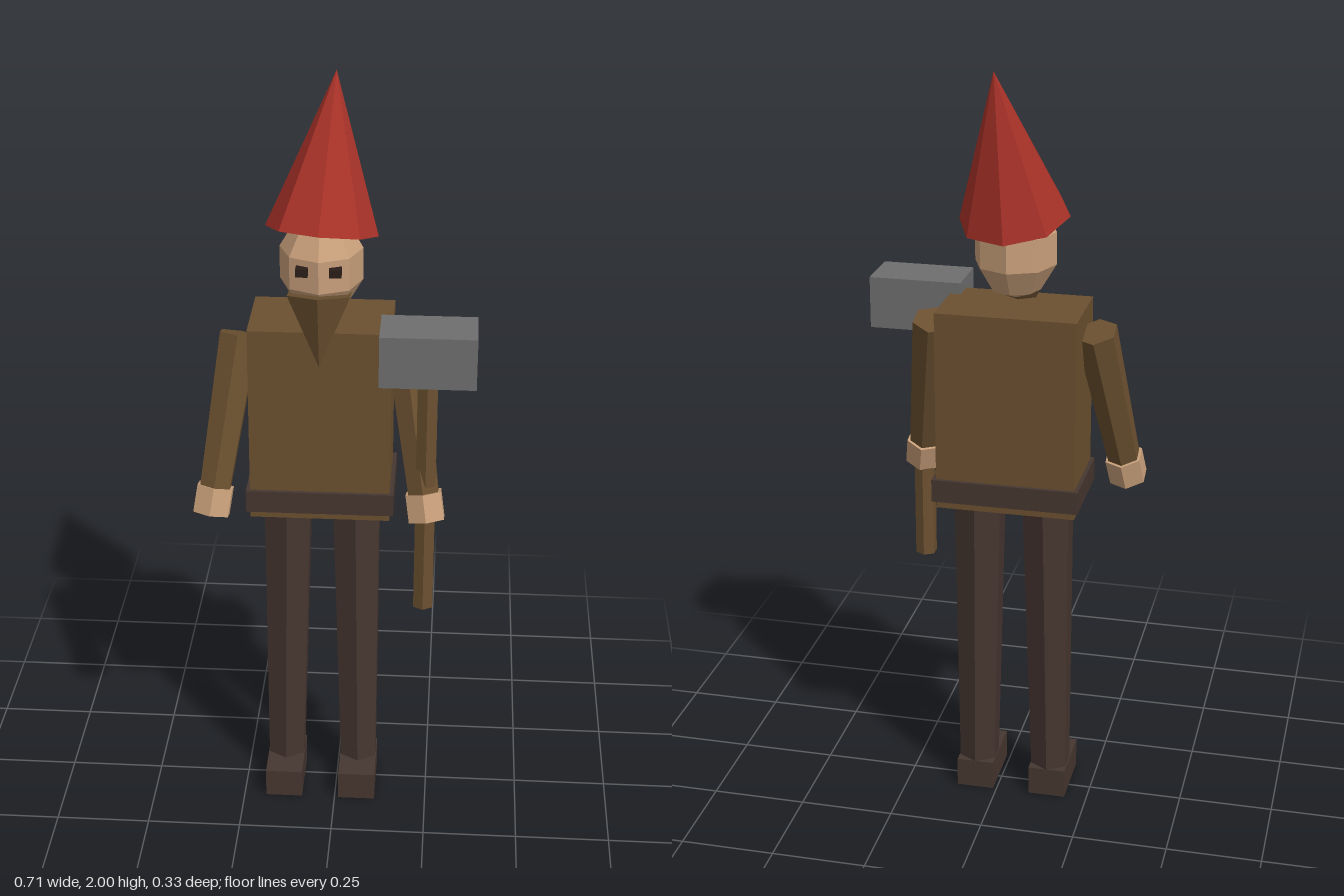
import * as THREE from 'three';

const mat = (name, color) => {
  const m = new THREE.MeshStandardMaterial({ color, flatShading: true });
  m.name = name;
  return m;
};

export function createModel() {
  const group = new THREE.Group();
  const red = mat('hat red', 0xa83228);
  const skin = mat('skin', 0xc89f7a);
  const brown = mat('tunic brown', 0x6b5030);
  const dark = mat('trouser brown', 0x463630);
  const grey = mat('iron grey', 0x6e6e6e);
  const black = mat('eye dark', 0x2a1d18);
  const CX = -0.04; // the body's middle line

  const add = (name, geometry, material, x, y, z) => {
    const mesh = new THREE.Mesh(geometry, material);
    mesh.name = name;
    mesh.position.set(x, y, z);
    group.add(mesh);
    return mesh;
  };
  const box = (name, material, w, h, d, x, y, z) =>
    add(name, new THREE.BoxGeometry(w, h, d), material, x, y, z);

  // Tapered prism running from point a to point b
  const up = new THREE.Vector3(0, 1, 0);
  const beam = (name, material, a, b, ra, rb, sides = 6) => {
    const A = new THREE.Vector3(...a), B = new THREE.Vector3(...b);
    const dir = A.clone().sub(B);
    const mid = A.clone().add(B).multiplyScalar(0.5);
    const mesh = add(name, new THREE.CylinderGeometry(ra, rb, dir.length(), sides), material, ...mid);
    mesh.quaternion.setFromUnitVectors(up, dir.normalize());
    return mesh;
  };

  // Body
  box('tunic', brown, 0.36, 0.525, 0.22, CX, 1.133, -0.03);
  box('belt', dark, 0.38, 0.06, 0.24, CX, 0.92, -0.03);

  // Head, beard and hat
  const head = add('head', new THREE.SphereGeometry(0.115, 8, 5), skin, CX, 1.545, -0.015);
  head.scale.set(0.95, 1.17, 1);
  beam('beard', brown, [CX, 1.488, 0.046], [CX, 1.305, 0.085], 0.09, 0);
  beam('hat', red, [-0.01, 2, -0.127], [CX, 1.622, -0.03], 0, 0.141, 8);

  // Paired parts
  for (const s of [-1, 1]) {
    const side = s > 0 ? 'left' : 'right';
    const px = (d) => CX + s * d;
    box(side + 'Eye', black, 0.03, 0.02, 0.03, px(0.041), 1.56, 0.085);
    beam(side + 'Leg', dark, [px(0.09), 0.89, -0.03], [px(0.1), 0.06, -0.01], 0.07, 0.055);
    box(side + 'Boot', dark, 0.1, 0.08, 0.175, px(0.1), 0.04, 0.0225);

    const shoulder = new THREE.Vector3(px(0.21), 1.34, -0.03);
    const wrist = new THREE.Vector3(px(0.272), 0.93, 0.1);
    const along = wrist.clone().sub(shoulder).normalize();
    const handTop = wrist.clone().addScaledVector(along, -0.036);
    const handEnd = wrist.clone().addScaledVector(along, 0.036);
    beam(side + 'Arm', brown, shoulder.toArray(), wrist.toArray(), 0.055, 0.043);
    beam(side + 'Hand', skin, handTop.toArray(), handEnd.toArray(), 0.052, 0.052);
  }

  // Hammer held in the left hand
  beam('hammerHandle', brown, [0.232, 1.3, 0.093], [0.232, 0.63, 0.093], 0.029, 0.029);
  box('hammerHead', grey, 0.24, 0.135, 0.14, 0.232, 1.357, 0.092);

  return group;
}
